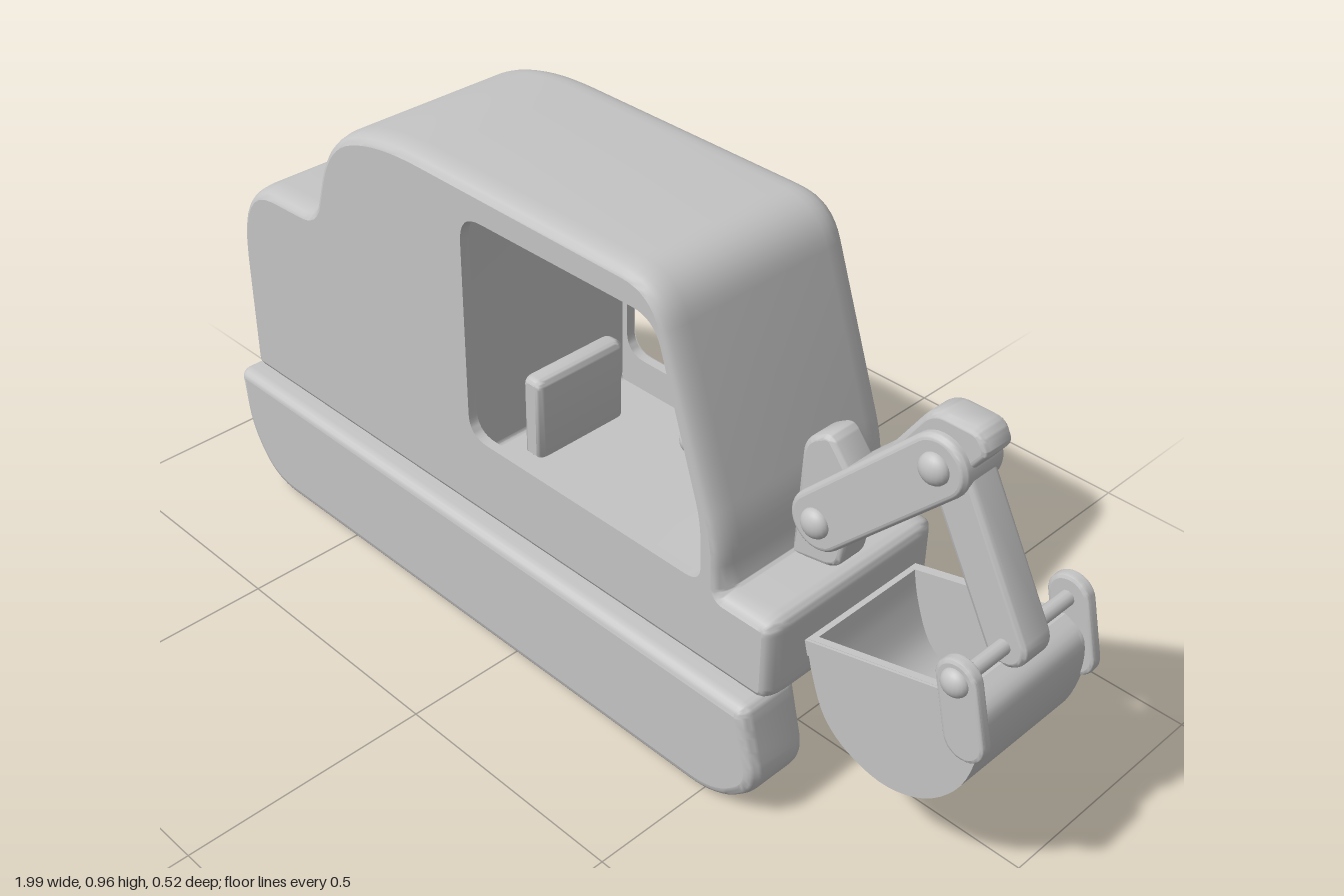
import * as THREE from 'three';
import { toCreasedNormals } from 'three/addons/utils/BufferGeometryUtils.js';

const grey = new THREE.MeshStandardMaterial({ color: 0xc4c4c4, side: THREE.DoubleSide });
grey.name = 'plain grey';

// Polygon with rounded corners; each corner is [x, y, radius]
function rounded(corners) {
  const path = new THREE.Shape();
  const n = corners.length;
  corners.forEach(([x, y, r], i) => {
    const p = new THREE.Vector2(x, y);
    const toward = (c) => {
      const d = new THREE.Vector2(c[0], c[1]).sub(p);
      return d.setLength(Math.min(r, d.length() * 0.49)).add(p);
    };
    const a = toward(corners[(i + n - 1) % n]);
    const b = toward(corners[(i + 1) % n]);
    if (i) path.lineTo(a.x, a.y); else path.moveTo(a.x, a.y);
    path.quadraticCurveTo(x, y, b.x, b.y);
  });
  path.closePath();
  return path;
}

// Bar with round ends between two points
function bar(x1, y1, x2, y2, r) {
  const a = Math.atan2(y2 - y1, x2 - x1);
  const s = new THREE.Shape();
  s.absarc(x2, y2, r, a - Math.PI / 2, a + Math.PI / 2, false);
  s.absarc(x1, y1, r, a + Math.PI / 2, a + Math.PI * 1.5, false);
  return s;
}

// Outline as counter-clockwise points without repeats
function outline(shape) {
  const pts = shape.getPoints(8).filter((p, i, all) => i === 0 || p.distanceTo(all[i - 1]) > 1e-4);
  if (pts[0].distanceTo(pts[pts.length - 1]) < 1e-4) pts.pop();
  return THREE.ShapeUtils.isClockWise(pts) ? pts.reverse() : pts;
}

function inset(pts, d) {
  const n = pts.length;
  return pts.map((p, i) => {
    const e = p.clone().sub(pts[(i + n - 1) % n]).normalize();
    const f = pts[(i + 1) % n].clone().sub(p).normalize();
    const k = d / Math.max(1 + e.dot(f), 0.5);
    return new THREE.Vector2(p.x - (e.y + f.y) * k, p.y + (e.x + f.x) * k);
  });
}

// Slab centred on z = 0 with rounded rims: outline loops plus two caps
function slab(shape, half, rimZ, rimIn, hole) {
  const group = new THREE.Group();
  const pts = outline(shape);
  const n = pts.length, steps = 5, rings = [];
  for (let k = 0; k <= steps; k++) {
    const a = (k / steps) * Math.PI / 2;
    rings.push([rimIn * (1 - Math.sin(a)), half - rimZ + rimZ * Math.cos(a)]);
  }
  const all = [...rings.map(([d, z]) => [d, -z]), ...rings.reverse()];
  const pos = [], idx = [];
  all.forEach(([d, z]) => inset(pts, d).forEach((p) => pos.push(p.x, p.y, z)));
  for (let k = 0; k < all.length - 1; k++) {
    for (let i = 0; i < n; i++) {
      const j = (i + 1) % n, a = k * n + i, b = k * n + j;
      idx.push(a, b, b + n, a, b + n, a + n);
    }
  }
  const side = new THREE.BufferGeometry();
  side.setAttribute('position', new THREE.Float32BufferAttribute(pos, 3));
  side.setIndex(idx);
  add(group, 'rim', toCreasedNormals(side, 0.7));
  const face = new THREE.Shape(inset(pts, rimIn));
  if (hole) face.holes.push(hole);
  for (const z of [-half, half]) add(group, 'face', new THREE.ShapeGeometry(face, 8), 0, 0, z);
  return group;
}

function add(parent, name, item, x = 0, y = 0, z = 0) {
  const obj = item.isBufferGeometry ? new THREE.Mesh(item, grey) : item;
  obj.name = name;
  obj.position.set(x, y, z);
  parent.add(obj);
  return obj;
}

const extrude = (shape, depth) => toCreasedNormals(
  new THREE.ExtrudeGeometry(shape, { depth, bevelEnabled: false, curveSegments: 8 }), 0.6);

// Round rod between two points
function rod(a, b, r) {
  return new THREE.TubeGeometry(new THREE.LineCurve3(new THREE.Vector3(...a), new THREE.Vector3(...b)), 1, r, 12);
}

export function createModel() {
  const model = new THREE.Group();

  // Body shell with a window on each side
  const windowHole = rounded([[-0.155, 0.42, 0.05], [0.445, 0.42, 0.04], [0.44, 0.55, 0.04],
    [0.325, 0.893, 0.05], [-0.155, 0.893, 0.06]]);
  const body = rounded([[-0.86, 0.245, 0.03], [-0.86, 0.70, 0.19], [-0.60, 0.71, 0.04], [-0.54, 0.90, 0.11],
    [-0.38, 0.963, 0.12], [0.33, 0.955, 0.08], [0.485, 0.52, 0.06], [0.488, 0.42, 0.01],
    [0.605, 0.42, 0.03], [0.605, 0.245, 0.03]]);
  add(model, 'body', slab(body, 0.217, 0.05, 0.02, windowHole));

  // Cab interior: walls, floor and ceiling, then the side panels around the windows
  const cabin = () => rounded([[-0.17, 0.35, 0.01], [0.453, 0.35, 0.01], [0.447, 0.55, 0.04],
    [0.333, 0.902, 0.04], [-0.17, 0.902, 0.04]]);
  const lining = inset(outline(cabin()), 0);
  const strip = new THREE.Shape(lining);
  strip.holes.push(new THREE.Path(inset(lining, 0.002)));
  add(model, 'cabinLining', extrude(strip, 0.39), 0, 0, -0.195);
  const panel = cabin();
  panel.holes.push(windowHole);
  for (const z of [-0.215, 0.195]) add(model, 'windowPanel', extrude(panel, 0.02), 0, 0, z);

  // Seat back and two control levers
  add(model, 'seatBack', slab(rounded([[-0.123, 0.345, 0.01], [-0.075, 0.345, 0.01],
    [-0.075, 0.523, 0.02], [-0.123, 0.523, 0.02]]), 0.11, 0.02, 0.012));
  for (const z of [-0.05, 0.05]) {
    add(model, 'lever', rod([0.305, 0.345, z], [0.262, 0.54, z], 0.009));
    add(model, 'leverKnob', new THREE.SphereGeometry(0.025, 20, 14), 0.262, 0.542, z);
  }

  // Tracks
  for (const z of [-0.193, 0.193]) {
    const track = rounded([[-0.865, 0.253, 0.02], [-0.85, 0.11, 0.06], [-0.77, 0.005, 0.07], [0.54, 0.005, 0.07],
      [0.63, 0.09, 0.05], [0.605, 0.19, 0.03], [0.59, 0.253, 0.02]]);
    add(model, 'track', slab(track, 0.068, 0.025, 0.022), 0, 0, z);
  }

  // Wind-up key
  const shaft = add(model, 'keyShaft', new THREE.CylinderGeometry(0.017, 0.017, 0.1, 16), -0.89, 0.435, 0);
  shaft.rotation.z = Math.PI / 2;
  for (const y of [0.385, 0.487]) {
    add(model, 'keyLoop', new THREE.TorusGeometry(0.038, 0.017, 12, 28), -0.943, y, 0);
  }

  // Arm: bracket, boom, knuckle and stick
  add(model, 'bracket', slab(rounded([[0.485, 0.41, 0.01], [0.59, 0.43, 0.03], [0.62, 0.61, 0.02],
    [0.55, 0.695, 0.02], [0.495, 0.66, 0.03]]), 0.035, 0.012, 0.01));
  add(model, 'boom', slab(bar(0.548, 0.52, 0.772, 0.752, 0.058), 0.052, 0.012, 0.01));
  add(model, 'knuckle', slab(rounded([[0.66, 0.72, 0.02], [0.74, 0.84, 0.03], [0.835, 0.84, 0.02],
    [0.853, 0.805, 0.01], [0.80, 0.73, 0.02]]), 0.034, 0.012, 0.01));
  add(model, 'stick', slab(bar(0.785, 0.74, 0.928, 0.48, 0.042), 0.036, 0.012, 0.01));
  for (const [x, y] of [[0.548, 0.52], [0.772, 0.752]]) {
    for (const s of [-1, 1]) {
      const bolt = add(model, 'armBolt', new THREE.SphereGeometry(0.029, 20, 14), x, y, s * 0.052);
      bolt.scale.z = 0.7;
    }
  }

  // Bucket: curved sheet closed by two side plates
  const curve = new THREE.SplineCurve([[0.62, 0.365], [0.635, 0.30], [0.67, 0.22], [0.73, 0.175], [0.81, 0.16],
    [0.89, 0.19], [0.95, 0.26], [0.975, 0.35], [0.97, 0.42], [0.93, 0.447]].map((p) => new THREE.Vector2(...p)));
  const outer = curve.getPoints(40);
  const inner = outer.map((p) => new THREE.Vector2(0.78 + (p.x - 0.78) * 0.92, 0.395 + (p.y - 0.395) * 0.92));
  add(model, 'bucketSheet', extrude(new THREE.Shape([...outer, ...inner.reverse()]), 0.28), 0, 0, -0.14);
  for (const s of [-1, 1]) {
    add(model, 'bucketSide', extrude(new THREE.Shape(outer), 0.014), 0, 0, s * 0.134 - 0.007);
    const rim = add(model, 'bucketRim', new THREE.BoxGeometry(0.3, 0.03, 0.016), 0.768, 0.388, s * 0.138);
    rim.rotation.z = 0.26;
    // Ears and pins carrying the bucket
    add(model, 'bucketEar', slab(bar(0.928, 0.482, 0.955, 0.375, 0.041), 0.012, 0.008, 0.008), 0, 0, s * 0.147);
    const pin = add(model, 'bucketPin', new THREE.SphereGeometry(0.026, 20, 14), 0.928, 0.482, s * 0.158);
    pin.scale.z = 0.75;
  }
  add(model, 'bucketAxle', rod([0.928, 0.48, -0.15], [0.928, 0.48, 0.15], 0.014));

  return model;
}
